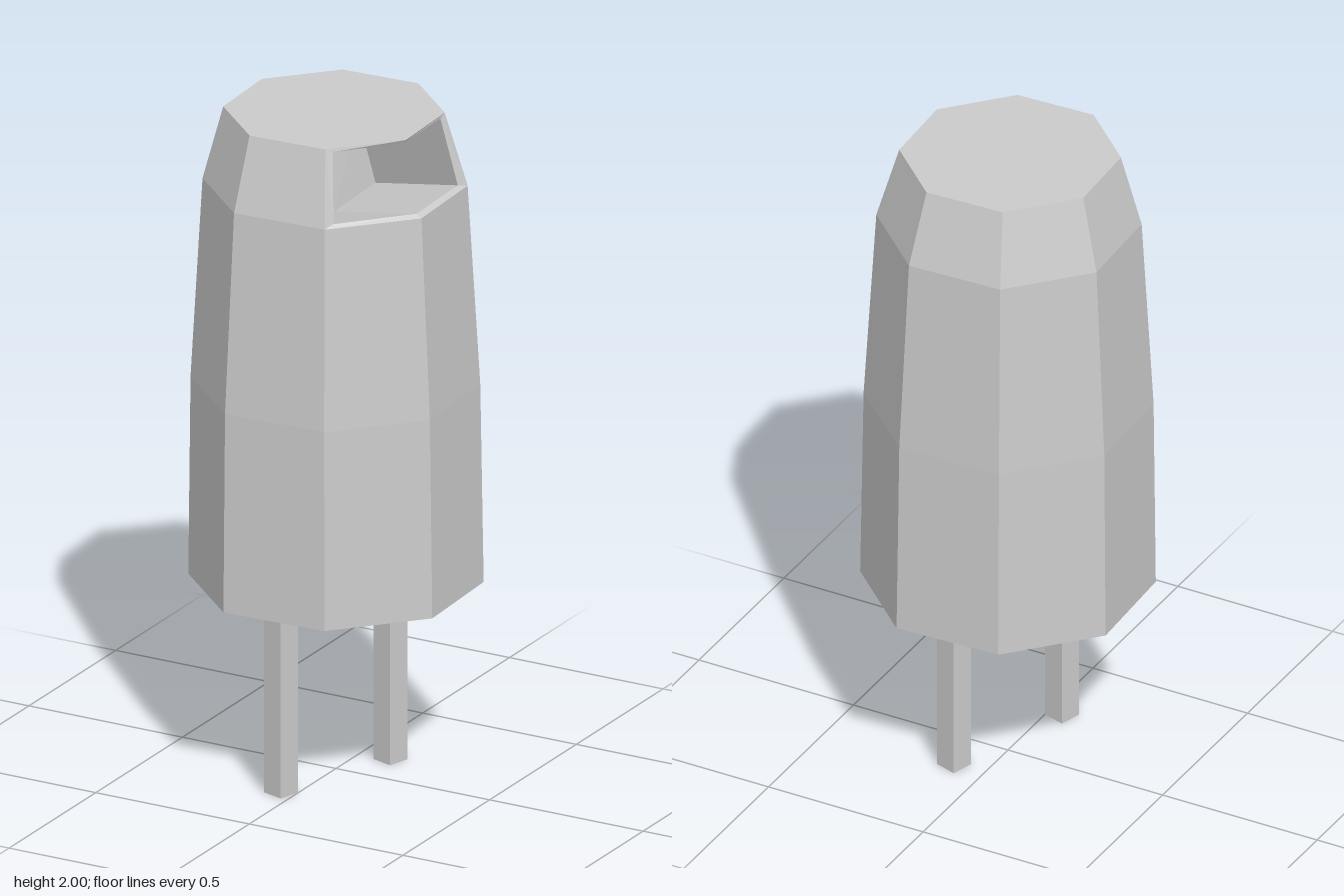
import * as THREE from 'three';

const SIDES = 8;
const START = THREE.MathUtils.degToRad(-25);

// Horizontal octagon of corner points
function ring(y, r, cx, cz) {
  return Array.from({ length: SIDES }, (_, i) => {
    const a = START + (i / SIDES) * Math.PI * 2;
    return new THREE.Vector3(cx + r * Math.cos(a), y, cz + r * Math.sin(a));
  });
}

// Flat-shaded geometry from polygons listed counter-clockwise
function facesToGeometry(faces) {
  const points = [];
  for (const f of faces) {
    for (let i = 1; i < f.length - 1; i++) points.push(f[0], f[i], f[i + 1]);
  }
  const geometry = new THREE.BufferGeometry().setFromPoints(points);
  geometry.computeVertexNormals();
  return geometry;
}

export function createModel() {
  const group = new THREE.Group();
  const material = new THREE.MeshStandardMaterial({ color: 0xcccccc, flatShading: true });
  const add = (name, geometry) => {
    const mesh = new THREE.Mesh(geometry, material);
    mesh.name = name;
    group.add(mesh);
    return mesh;
  };

  // Tapered octagonal body; the two first panels of the top band stay open
  const rings = [
    ring(0.58, 0.42, 0, 0),
    ring(1.18, 0.412, -0.003, -0.002),
    ring(1.78, 0.377, -0.007, -0.007),
    ring(2, 0.315, -0.01, -0.006),
  ];
  const body = [[...rings[0]], [...rings[3]].reverse()];
  for (let k = 0; k < 3; k++) {
    const lo = rings[k], hi = rings[k + 1];
    for (let i = k === 2 ? 2 : 0; i < SIDES; i++) {
      const j = (i + 1) % SIDES;
      body.push([lo[j], lo[i], hi[i], hi[j]]);
    }
  }
  add('body', facesToGeometry(body));

  // Window: outer panel outline, inset rim, and the rim pushed inwards
  const [, , lo, hi] = rings;
  const outer = [lo[0], lo[1], lo[2], hi[2], hi[1], hi[0]];
  const rim = [
    [0.322, 1.79, -0.132], [0.33, 1.79, 0.12], [0.165, 1.79, 0.307],
    [0.139, 1.99, 0.265], [0.278, 1.99, 0.103], [0.275, 1.99, -0.115],
  ].map((p) => new THREE.Vector3(...p));
  const push = new THREE.Vector3(-0.33, -0.092, -0.11);
  const inner = rim.map((p) => p.clone().add(push));
  const band = (a, b) => a.map((p, j) => {
    const n = (j + 1) % a.length;
    return [a[n], p, b[j], b[n]];
  });
  add('windowFrame', facesToGeometry(band(outer, rim)));
  add('windowRecess', facesToGeometry([
    ...band(rim, inner),
    [inner[1], inner[0], inner[5], inner[4]],
    [inner[2], inner[1], inner[4], inner[3]],
  ]));

  // Two square legs, slightly turned
  for (const [name, x, z] of [['frontLeg', -0.043, 0.24], ['backLeg', 0.098, -0.14]]) {
    const leg = add(name, new THREE.BoxGeometry(0.068, 0.6, 0.068));
    leg.position.set(x, 0.3, z);
    leg.rotation.y = -0.3;
  }
  return group;
}
